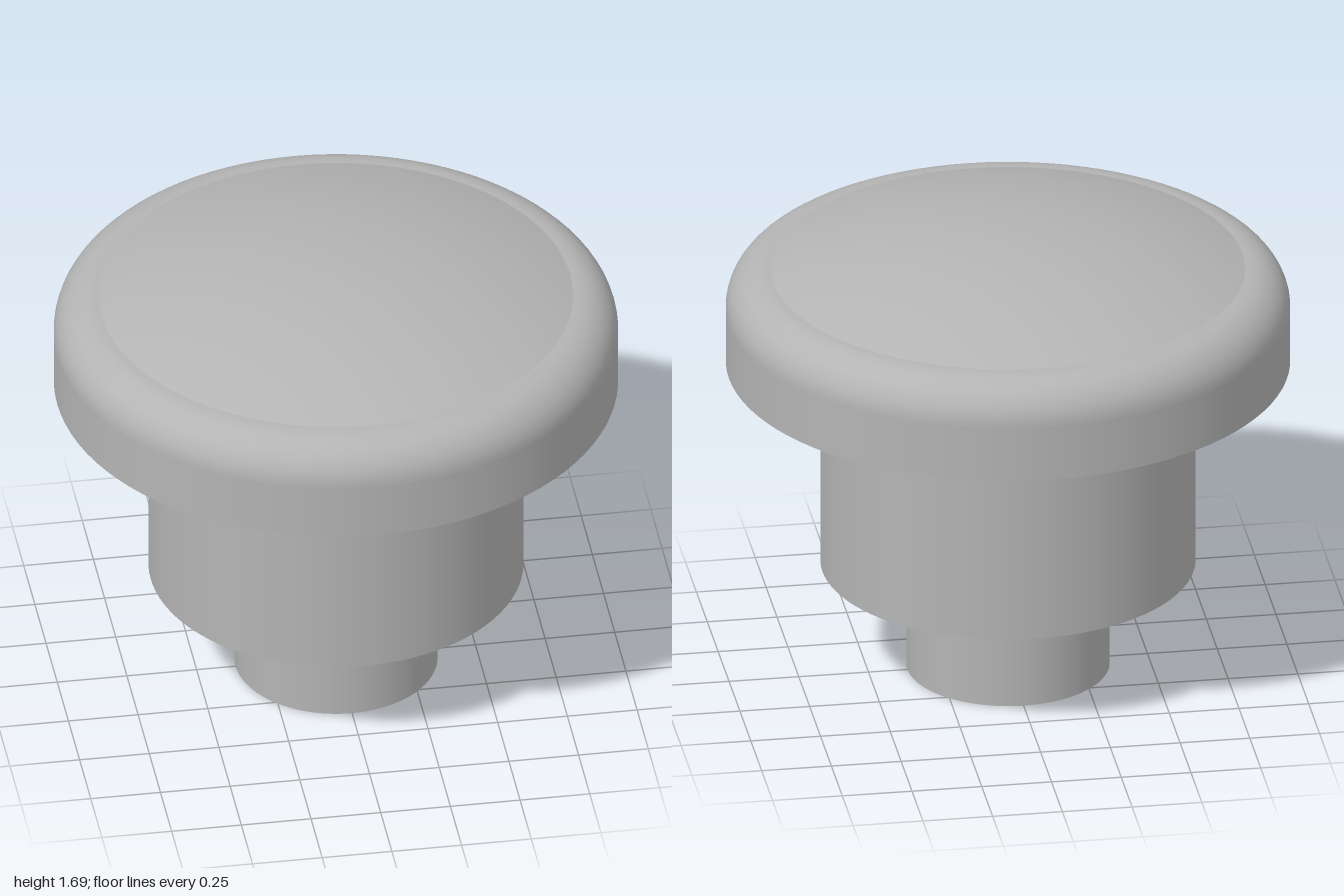
import * as THREE from 'three';

const SEGMENTS = 96;

export function createModel() {
  const model = new THREE.Group();
  const grey = new THREE.MeshStandardMaterial({ color: 0xb4b4b4 });
  grey.name = 'plain grey';

  const add = (name, geometry, y = 0) => {
    const mesh = new THREE.Mesh(geometry, grey);
    mesh.name = name;
    mesh.position.y = y;
    model.add(mesh);
  };
  const cylinder = (name, radius, bottom, top) =>
    add(name, new THREE.CylinderGeometry(radius, radius, top - bottom, SEGMENTS), (bottom + top) / 2);

  // Stepped stem
  cylinder('stem', 0.36, 0, 0.405);
  cylinder('body', 0.665, 0.405, 1.185);

  // Cap side with a rounded upper edge
  const bottom = 1.185, rimTop = 1.545, fillet = 0.15;
  const rim = [new THREE.Vector2(1, bottom), new THREE.Vector2(1, rimTop - fillet - 0.005)];
  for (let i = 0; i <= 14; i++) {
    const a = (i / 14) * Math.PI / 2;
    rim.push(new THREE.Vector2(1 - fillet + fillet * Math.cos(a), rimTop - fillet + fillet * Math.sin(a)));
  }
  rim.push(new THREE.Vector2(0.83, rimTop));
  add('capRim', new THREE.LatheGeometry(rim, SEGMENTS));

  // Shallow spherical crown
  const edge = 0.84, rise = 0.145;
  const radius = (edge * edge + rise * rise) / (2 * rise);
  const sweep = Math.asin(edge / radius);
  const crown = [];
  for (let i = 0; i <= 20; i++) {
    const a = sweep * (1 - i / 20);
    crown.push(new THREE.Vector2(radius * Math.sin(a), rimTop + rise - radius * (1 - Math.cos(a))));
  }
  add('capCrown', new THREE.LatheGeometry(crown, SEGMENTS));

  // Flat underside of the cap
  add('capUnderside', new THREE.CircleGeometry(1, SEGMENTS).rotateX(Math.PI / 2), bottom);

  return model;
}
